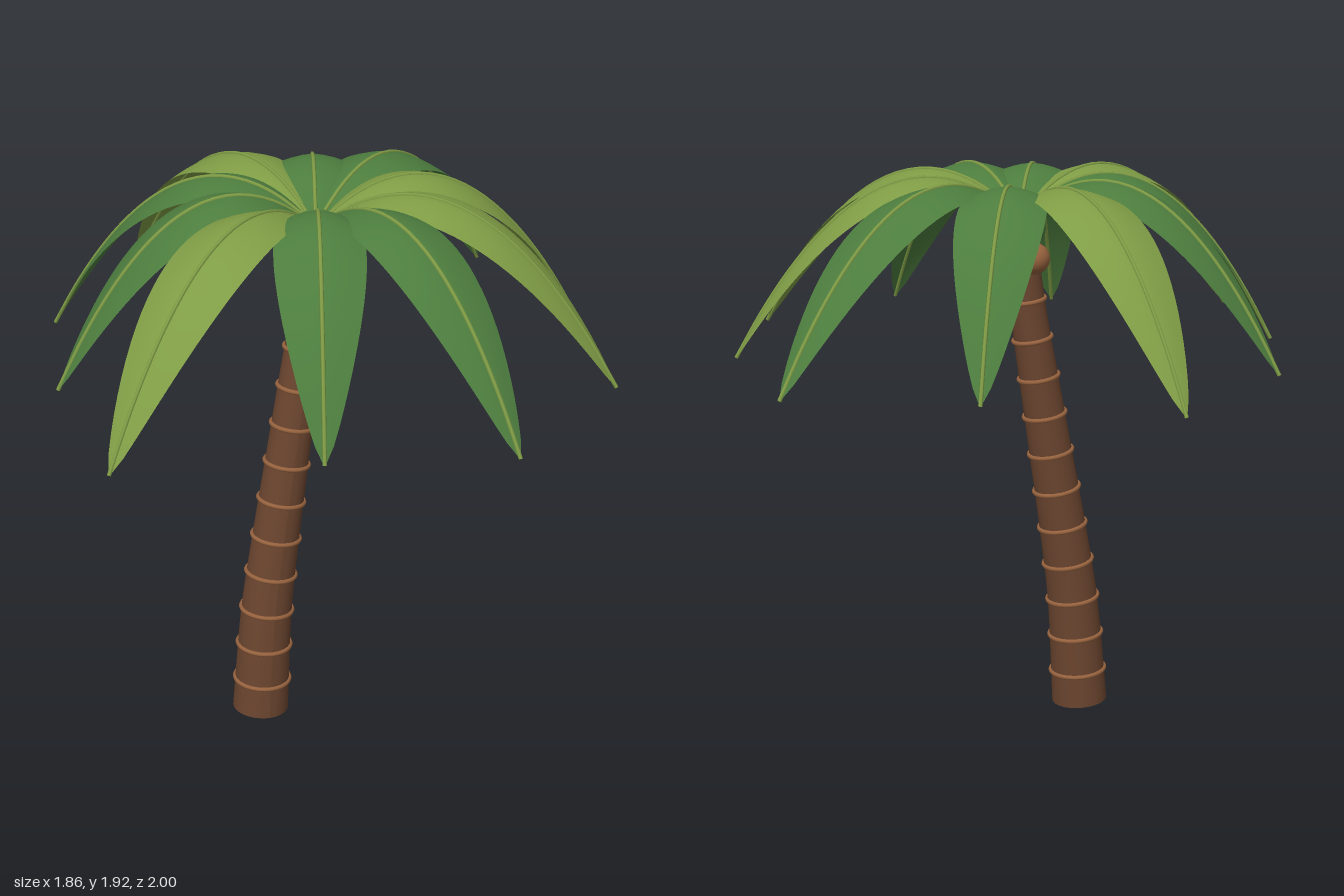
import * as THREE from 'three';

const V = (x, y, z) => new THREE.Vector3(x, y, z);
const UP = V(0, 1, 0);
const CROWN = V(-0.04, 0, 0.025); // axis the fronds radiate from

// Curved axis of the leaning trunk
const axis = new THREE.CatmullRomCurve3([
  V(-0.27, 0.007, 0.077), V(-0.24, 0.395, 0.069), V(-0.2, 0.67, 0.06), V(-0.155, 0.94, 0.049),
  V(-0.11, 1.21, 0.038), V(-0.067, 1.48, 0.03), V(-0.04, 1.74, 0.025),
]);
const trunkRadius = (u) => 0.098 - 0.043 * u;
const axisTurn = (u) => new THREE.Quaternion().setFromUnitVectors(UP, axis.getTangentAt(u));

function trunkGeometry() {
  const geo = new THREE.CylinderGeometry(1, 1, 1, 24, 32);
  const pos = geo.attributes.position;
  const p = V(0, 0, 0);
  for (let i = 0; i < pos.count; i++) {
    p.fromBufferAttribute(pos, i);
    const u = THREE.MathUtils.clamp(p.y + 0.5, 0, 1);
    const r = trunkRadius(u);
    p.set(p.x * r, 0, p.z * r).applyQuaternion(axisTurn(u)).add(axis.getPointAt(u));
    pos.setXYZ(i, p.x, p.y, p.z);
  }
  geo.computeVertexNormals();
  return geo;
}

// Frond arch: rises from the crown, then droops to the tip
const archY = (s) => 1.767 + 0.867 * s - 1.314 * s * s;
const START = 0.05;

// Leaf blade along +x, with its edges bent down from the midrib
function bladeGeometry(length) {
  const geo = new THREE.PlaneGeometry(1, 1, 28, 8);
  const pos = geo.attributes.position;
  for (let i = 0; i < pos.count; i++) {
    const s = START + (1 - START) * (pos.getX(i) + 0.5);
    const side = -pos.getY(i) * 2;
    const half = 0.142 * Math.pow(Math.max(Math.sin(Math.PI * s), 0), 0.75) + 0.002;
    const drop = 0.28 * half * Math.pow(Math.abs(side), 1.6);
    pos.setXYZ(i, length * s, archY(s) - drop, side * half);
  }
  geo.computeVertexNormals();
  return geo;
}

function ribGeometry(length) {
  const points = [];
  for (let i = 0; i <= 10; i++) {
    const s = START + (1 - START) * (i / 10);
    points.push(V(length * s, archY(s), 0));
  }
  return new THREE.TubeGeometry(new THREE.CatmullRomCurve3(points), 28, 0.007, 6);
}

export function createModel() {
  const mat = (name, color, side = THREE.FrontSide) => {
    const m = new THREE.MeshStandardMaterial({ color, side });
    m.name = name;
    return m;
  };
  const bark = mat('bark brown', 0x6b452f);
  const nutBrown = mat('light brown', 0x96623e);
  const darkLeaf = mat('deep green', 0x4d7d3e, THREE.DoubleSide);
  const lightLeaf = mat('yellow green', 0x7f9c45, THREE.DoubleSide);

  const model = new THREE.Group();
  model.name = 'palmTree';
  const add = (parent, name, geo, material) => {
    const mesh = new THREE.Mesh(geo, material);
    mesh.name = name;
    parent.add(mesh);
    return mesh;
  };

  // Trunk with evenly spaced rings
  add(model, 'trunk', trunkGeometry(), bark);
  for (let i = 0; i < 12; i++) {
    const u = (0.115 + i * 0.1365) / 1.735;
    const geo = new THREE.TorusGeometry(trunkRadius(u) + 0.001, 0.008, 8, 28).rotateX(Math.PI / 2);
    const ring = add(model, 'trunkRing', geo, nutBrown);
    ring.position.copy(axis.getPointAt(u));
    ring.quaternion.copy(axisTurn(u));
  }

  // Crown bulb and the three coconuts beneath it
  const bulb = add(model, 'crownBulb', new THREE.SphereGeometry(0.09, 24, 16), darkLeaf);
  bulb.scale.y = 0.82;
  bulb.position.copy(CROWN).setY(1.732);
  for (let i = 0; i < 3; i++) {
    const a = (i * Math.PI * 2) / 3;
    const nut = add(model, 'coconut', new THREE.SphereGeometry(0.053, 20, 14), nutBrown);
    nut.position.set(CROWN.x + 0.078 * Math.cos(a), 1.638, CROWN.z + 0.078 * Math.sin(a));
  }

  // Ten fronds of varied length around the crown
  const lengths = [0.96, 1.06, 0.83, 1.077, 0.937, 0.885, 1.098, 0.846, 1.012, 1.013];
  lengths.forEach((length, i) => {
    const frond = new THREE.Group();
    frond.name = 'frond';
    add(frond, 'blade', bladeGeometry(length), i % 3 === 0 ? lightLeaf : darkLeaf);
    add(frond, 'midrib', ribGeometry(length), lightLeaf);
    frond.position.copy(CROWN);
    frond.rotation.y = (i * Math.PI) / 5;
    model.add(frond);
  });
  return model;
}
